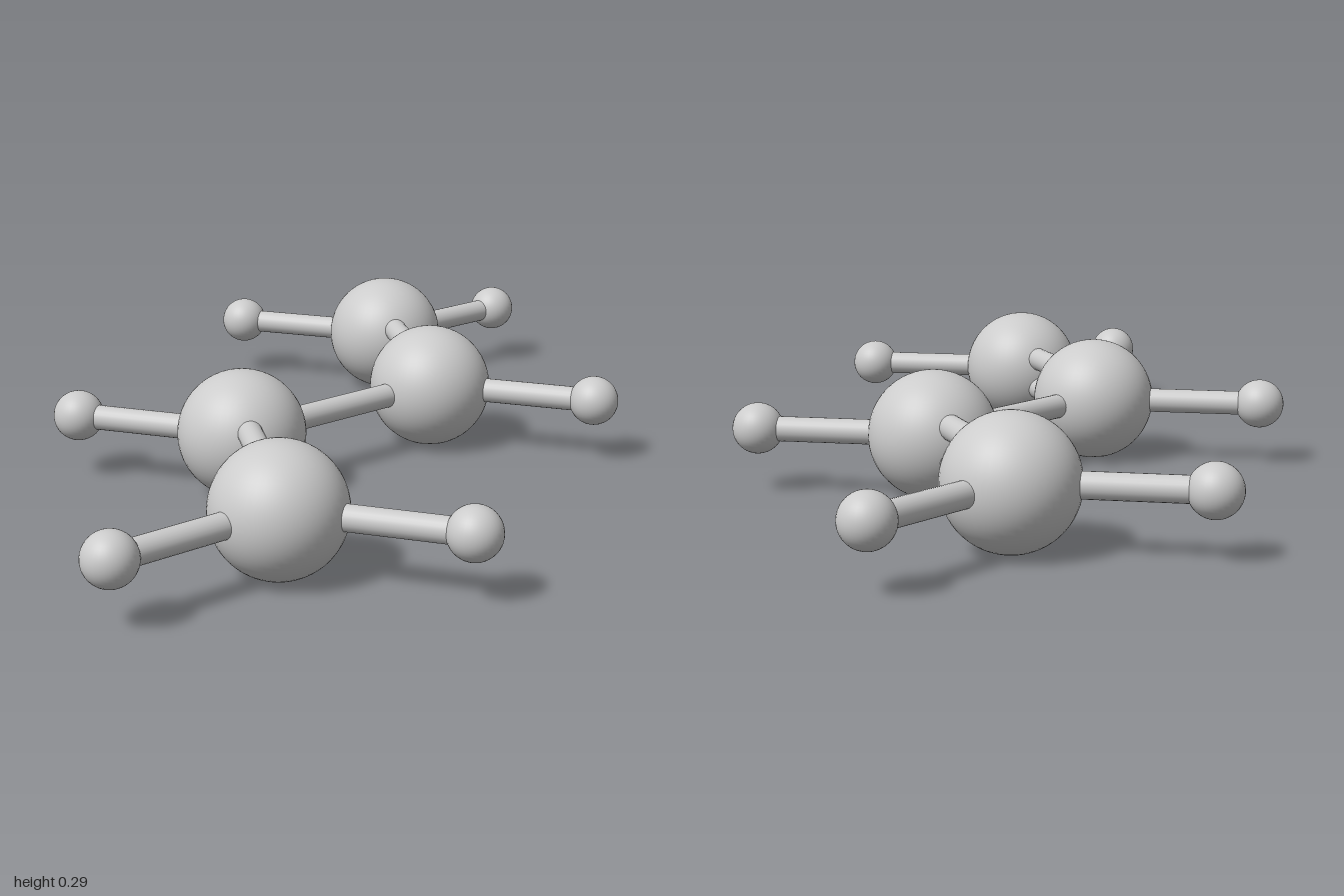
import * as THREE from 'three';

const BIG = 0.143, SMALL = 0.057, ROD = 0.028, GAP = 0.038;

export function createModel() {
  const model = new THREE.Group();
  model.name = 'ballAndStickChain';
  const material = new THREE.MeshStandardMaterial({ color: 0xcccccc });
  const bigBall = new THREE.SphereGeometry(BIG, 48, 32);
  const smallBall = new THREE.SphereGeometry(SMALL, 32, 24);
  const up = new THREE.Vector3(0, 1, 0);

  const add = (geometry, name, position) => {
    const mesh = new THREE.Mesh(geometry, material);
    mesh.name = name;
    mesh.position.copy(position);
    model.add(mesh);
    return mesh;
  };

  // Rod between two ball centres, optionally shifted vertically
  const rod = (a, b, name, dy = 0) => {
    const dir = b.clone().sub(a);
    const mid = a.clone().add(b).multiplyScalar(0.5);
    mid.y += dy;
    const mesh = add(new THREE.CylinderGeometry(ROD, ROD, dir.length(), 24), name, mid);
    mesh.quaternion.setFromUnitVectors(up, dir.normalize());
  };

  // Each half is the other turned by 180 degrees about the y axis
  for (const [s, side] of [[1, 'left'], [-1, 'right']]) {
    const at = (x, z) => new THREE.Vector3(s * x, BIG, s * z);
    const inner = at(0.287, 0);
    const outer = at(0.541, -0.438);
    add(bigBall, `${side}InnerAtom`, inner);
    add(bigBall, `${side}OuterAtom`, outer);

    // Double bond: one rod above the other
    rod(inner, outer, `${side}DoubleBondUpper`, GAP);
    rod(inner, outer, `${side}DoubleBondLower`, -GAP);

    // Small end atoms with their single bonds
    const ends = [
      [inner, at(0.486, 0.347), 'InnerEnd'],
      [outer, at(0.943, -0.438), 'SideEnd'],
      [outer, at(0.342, -0.785), 'FarEnd'],
    ];
    for (const [from, to, label] of ends) {
      add(smallBall, `${side}${label}Atom`, to);
      rod(from, to, `${side}${label}Bond`);
    }
  }

  // Central single bond
  rod(new THREE.Vector3(-0.287, BIG, 0), new THREE.Vector3(0.287, BIG, 0), 'centreBond');
  return model;
}
